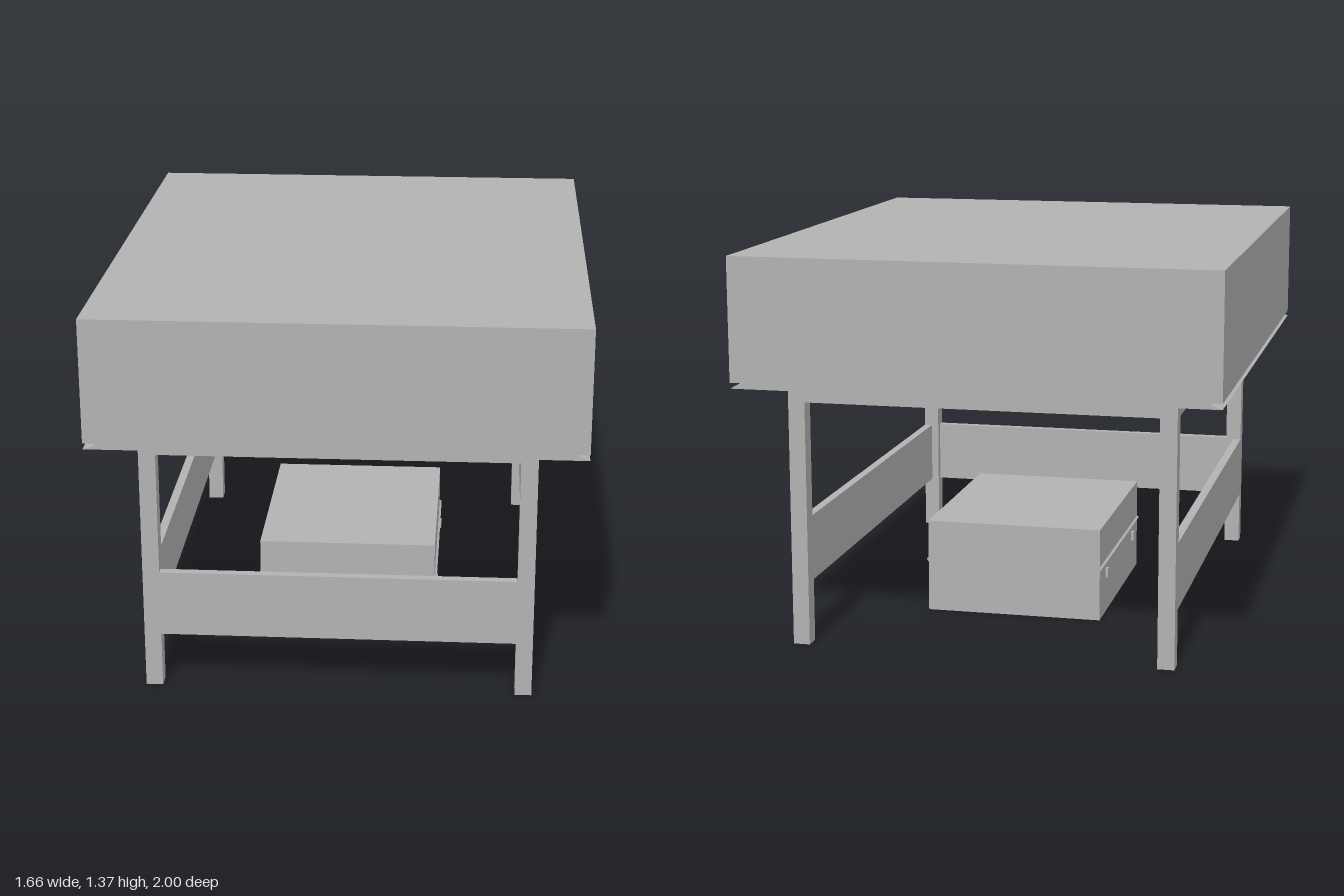
import * as THREE from 'three';

export function createModel() {
  const model = new THREE.Group();
  model.name = 'table';
  const grey = new THREE.MeshStandardMaterial({ color: 0xb2b2b2 });
  grey.name = 'plain grey';

  function add(name, geometry, x = 0, y = 0, z = 0) {
    const mesh = new THREE.Mesh(geometry, grey);
    mesh.name = name;
    mesh.position.set(x, y, z);
    model.add(mesh);
  }

  // Box from its lower and upper limits
  function box(name, x0, x1, y0, y1, z0, z1) {
    add(name, new THREE.BoxGeometry(x1 - x0, y1 - y0, z1 - z0),
      (x0 + x1) / 2, (y0 + y1) / 2, (z0 + z1) / 2);
  }

  // Mirrored profile (right half, bottom to top) extruded along z
  function extrude(name, half, depth) {
    const left = half.map(([x, y]) => [-x, y]).reverse();
    const shape = new THREE.Shape([...half, ...left].map(([x, y]) => new THREE.Vector2(x, y)));
    add(name, new THREE.ExtrudeGeometry(shape, { depth, bevelEnabled: false }), 0, 0, -depth / 2);
  }

  // Thick top with a wedge groove along both long sides
  extrude('tableTop', [[0.83, 0.918], [0.79, 0.933], [0.79, 0.938], [0.83, 0.938], [0.83, 1.365]], 2);

  // Legs, and the rails and aprons running between them
  const legX = 0.668, legZ = 0.88, leg = 0.058, thick = 0.03;
  const inX = legX - leg, inZ = legZ - leg;
  for (const s of [-1, 1]) {
    const side = s > 0 ? 'left' : 'right';
    const end = s > 0 ? 'front' : 'back';
    for (const t of [-1, 1]) {
      add(side + (t > 0 ? 'Front' : 'Back') + 'Leg', new THREE.BoxGeometry(leg, 0.918, leg),
        s * (legX - leg / 2), 0.459, t * (legZ - leg / 2));
    }
    const cx = s * (legX - thick / 2), cz = s * (legZ - thick / 2);
    box(side + 'TopRail', cx - thick / 2, cx + thick / 2, 0.857, 0.918, -inZ, inZ);
    box(end + 'TopRail', -inX, inX, 0.857, 0.918, cz - thick / 2, cz + thick / 2);
    box(side + 'Apron', cx - thick / 2, cx + thick / 2, 0.195, 0.427, -inZ, inZ);
  }
  // The back stays open
  box('frontApron', -inX, inX, 0.195, 0.427, legZ - thick, legZ);

  // Storage box on the floor, with a small lip along its sides
  extrude('storageBox', [[0.318, 0], [0.318, 0.18], [0.326, 0.192], [0.318, 0.197], [0.318, 0.335]], 0.77);

  // Two latches on each side of the box
  for (const s of [-1, 1]) {
    for (const z of [-0.265, 0.265]) {
      add('latch', new THREE.BoxGeometry(0.012, 0.034, 0.022), s * 0.322, 0.147, z);
    }
  }
  return model;
}
